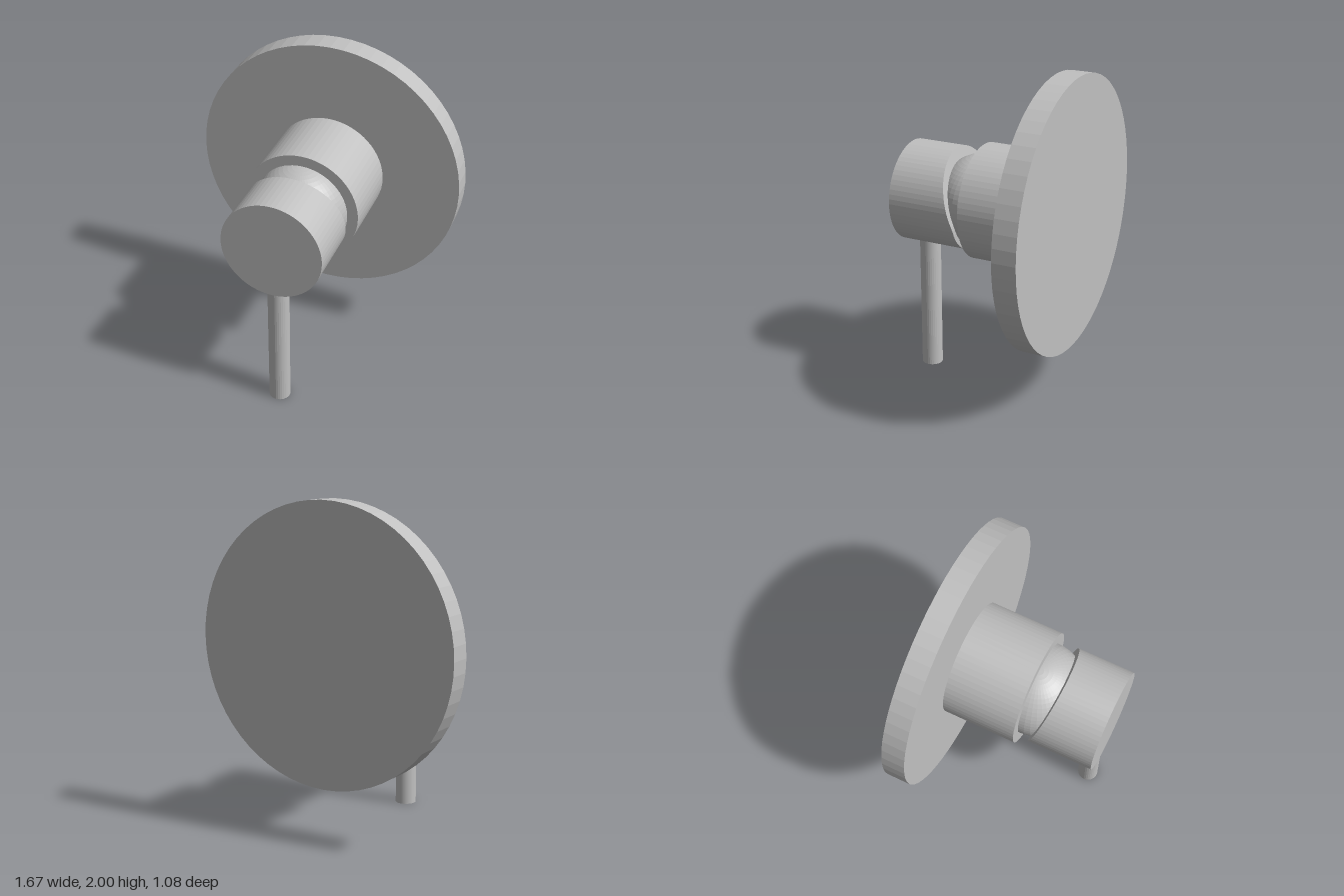
import * as THREE from 'three';

const AXIS_Y = 1.165; // height of the common axis

export function createModel() {
  const model = new THREE.Group();
  model.name = 'wallMixerTap';
  const metal = new THREE.MeshStandardMaterial({ color: 0xc0c0c0 });
  metal.name = 'brushedMetal';

  // Adds a faceted part
  function add(name, geometry, y, z) {
    const flat = geometry.toNonIndexed();
    flat.computeVertexNormals();
    const mesh = new THREE.Mesh(flat, metal);
    mesh.name = name;
    mesh.position.set(0, y, z);
    model.add(mesh);
  }

  // Cylinder lying along z between two depths
  function disc(name, radius, back, front) {
    const g = new THREE.CylinderGeometry(radius, radius, front - back, 64).rotateX(Math.PI / 2);
    add(name, g, AXIS_Y, (back + front) / 2);
  }

  disc('wallPlate', 0.835, -0.54, -0.395);
  disc('sleeve', 0.353, -0.395, 0.06);

  // Ball joint between sleeve and knob
  add('ballJoint', new THREE.SphereGeometry(0.287, 48, 32), AXIS_Y, 0.06);

  // Knob: closed front, back rim cut on a slant above and straight below
  const profile = [[0.22, 0], [0.31, 0], [0.31, 0.54], [0, 0.54]]
    .map(([r, h]) => new THREE.Vector2(r, h));
  const knob = new THREE.LatheGeometry(profile, 64).rotateX(Math.PI / 2);
  const p = knob.attributes.position;
  for (let i = 0; i < p.count; i++) {
    if (p.getZ(i) < 0.3) p.setZ(i, 0.125 + Math.max(0, p.getY(i) + 0.105) * 0.265);
  }
  add('knob', knob, AXIS_Y, 0);

  // Lever hanging from the knob
  add('lever', new THREE.CylinderGeometry(0.065, 0.065, 0.9, 32), 0.45, 0.434);

  return model;
}
